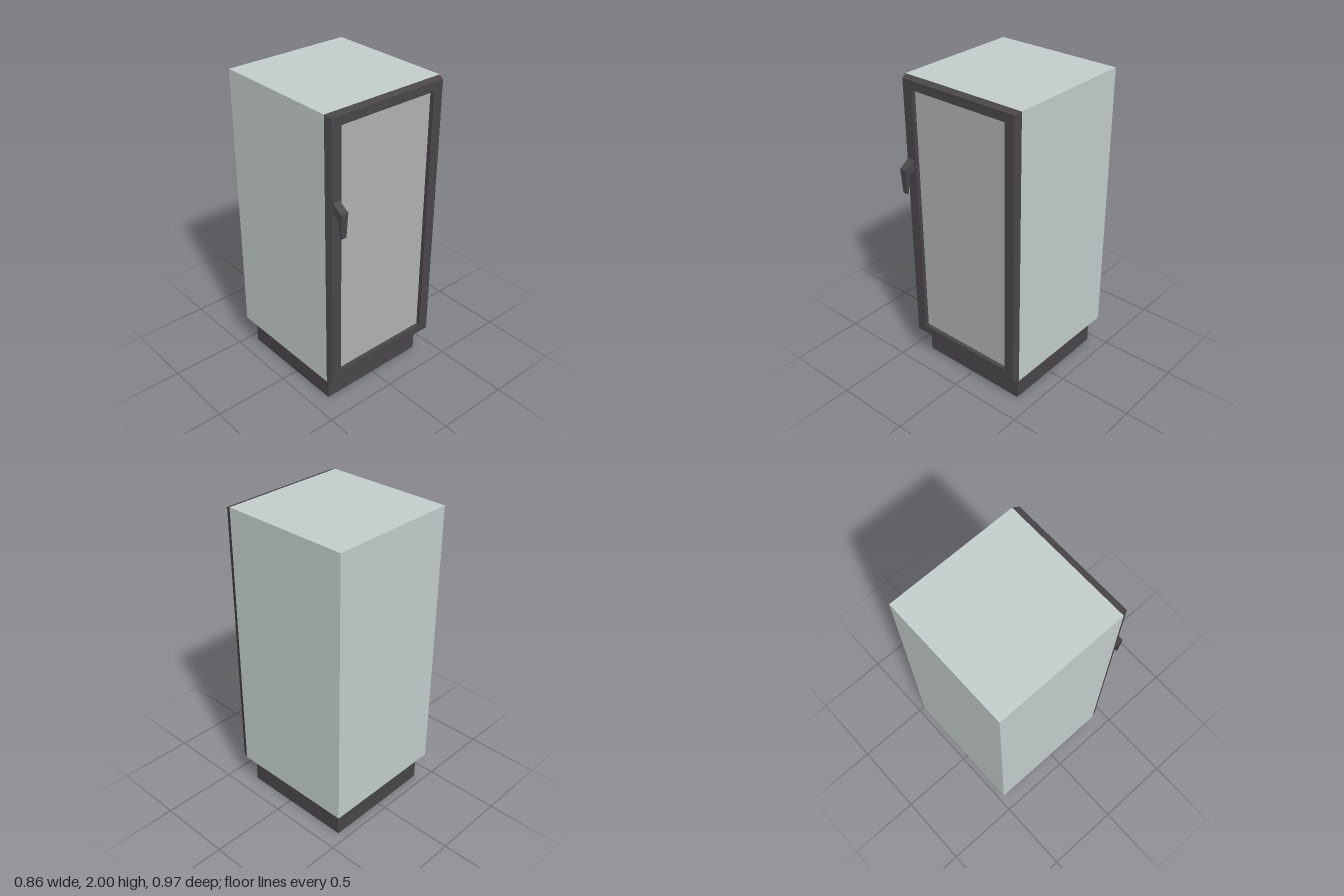
import * as THREE from 'three';

const paint = (color) => new THREE.MeshStandardMaterial({ color, flatShading: true });

function box(name, [x0, x1], [y0, y1], [z0, z1], material) {
  const mesh = new THREE.Mesh(new THREE.BoxGeometry(x1 - x0, y1 - y0, z1 - z0), material);
  mesh.position.set((x0 + x1) / 2, (y0 + y1) / 2, (z0 + z1) / 2);
  mesh.name = name;
  return mesh;
}

// Skin successive rectangles { x, y0, y1, z } (outside to inside) into a frame.
function frameGeometry(rings) {
  const pos = [], index = [];
  for (const { x, y0, y1, z } of rings) {
    pos.push(-x, y0, z, x, y0, z, x, y1, z, -x, y1, z);
  }
  for (let r = 0; r < rings.length - 1; r++) {
    for (let i = 0; i < 4; i++) {
      const a = r * 4 + i, b = r * 4 + (i + 1) % 4;
      index.push(a, b, b + 4, a, b + 4, a + 4);
    }
  }
  const geo = new THREE.BufferGeometry();
  geo.setAttribute('position', new THREE.Float32BufferAttribute(pos, 3));
  geo.setIndex(index);
  const flat = geo.toNonIndexed();
  flat.computeVertexNormals();
  return flat;
}

// Bent lever: side profile (z, y) extruded across x, grip narrowing downwards.
function handleGeometry() {
  const profile = [[0.405, 1.49], [0.405, 1.425], [0.455, 1.405], [0.466, 1.28], [0.478, 1.28], [0.484, 1.44]];
  const shape = new THREE.Shape(profile.map(([z, y]) => new THREE.Vector2(-z, y)));
  const width = 0.05;
  const geo = new THREE.ExtrudeGeometry(shape, { depth: width, bevelEnabled: false });
  geo.translate(0, 0, -width / 2);
  geo.rotateY(Math.PI / 2);
  const p = geo.attributes.position;
  for (let i = 0; i < p.count; i++) {
    if (p.getY(i) < 1.3) p.setX(i, p.getX(i) * 0.7);
  }
  geo.computeVertexNormals();
  return geo;
}

export function createModel() {
  const group = new THREE.Group();
  const shell = paint(0xc3cdcb), dark = paint(0x484648), glass = paint(0xb1b0b0);

  // Plinth and cabinet body
  group.add(box('plinth', [-0.383, 0.383], [0, 0.192], [-0.44, 0.33], dark));
  group.add(box('cabinetBody', [-0.43, 0.43], [0.19, 2], [-0.485, 0.372], shell));

  // Door frame with chamfered outer edge and a recessed panel
  const frame = new THREE.Mesh(frameGeometry([
    { x: 0.43, y0: 0.19, y1: 2, z: 0.372 },
    { x: 0.415, y0: 0.204, y1: 1.986, z: 0.412 },
    { x: 0.346, y0: 0.26, y1: 1.93, z: 0.412 },
    { x: 0.346, y0: 0.26, y1: 1.93, z: 0.374 },
  ]), dark);
  frame.name = 'doorFrame';
  group.add(frame);
  group.add(box('doorPanel', [-0.346, 0.346], [0.26, 1.93], [0.36, 0.385], glass));

  // Door handle
  const handle = new THREE.Mesh(handleGeometry(), dark);
  handle.name = 'doorHandle';
  handle.position.x = -0.383;
  group.add(handle);

  return group;
}
